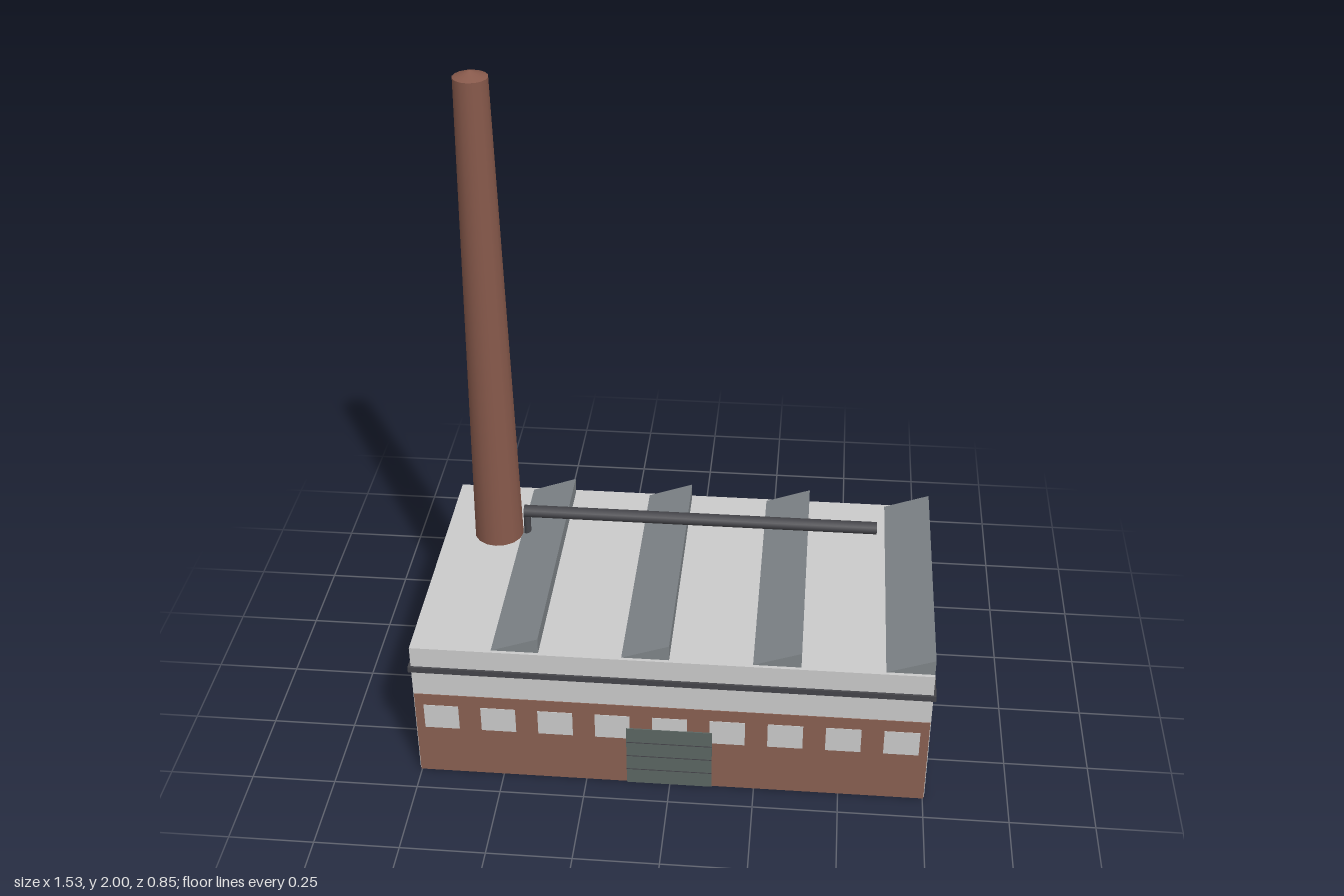
import * as THREE from 'three';

const mat = (color) => new THREE.MeshStandardMaterial({ color });

export function createModel() {
  const root = new THREE.Group();
  root.name = 'factory';
  const wall = mat(0xcccccc);
  const brick = mat(0x8a6152);
  const dark = mat(0x45454a);
  const slate = mat(0x80868a);
  const doorMat = mat(0x5c6663);
  const chimneyMat = mat(0x87594b);

  const add = (name, geometry, material, x, y, z, parent = root) => {
    const mesh = new THREE.Mesh(geometry, material);
    mesh.name = name;
    mesh.position.set(x, y, z);
    parent.add(mesh);
    return mesh;
  };
  // box given by size, and by the height of its underside
  const box = (name, w, h, d, material, x, bottom, z, parent) =>
    add(name, new THREE.BoxGeometry(w, h, d), material, x, bottom + h / 2, z, parent);

  // hall with brick lower facades on the front and back
  box('hall', 1.51, 0.461, 0.84, wall, 0, 0.004, 0);
  box('brickFacade', 1.506, 0.295, 0.844, brick, 0, 0, 0);
  box('corniceBand', 1.526, 0.018, 0.854, dark, 0, 0.38, 0);

  // window rows on both long sides
  const windows = new THREE.Group();
  windows.name = 'windows';
  root.add(windows);
  for (const side of [1, -1]) {
    for (let i = -4; i <= 4; i++) {
      box('window', 0.103, 0.085, 0.004, wall, i * 0.169, 0.17, side * 0.4215, windows);
    }
  }

  // loading door with horizontal slats
  const door = new THREE.Group();
  door.name = 'door';
  root.add(door);
  box('doorPanel', 0.253, 0.21, 0.006, doorMat, -0.002, 0, 0.423, door);
  for (let i = 1; i < 4; i++) {
    box('doorSeam', 0.253, 0.003, 0.002, dark, -0.002, i * 0.052, 0.4255, door);
  }

  // sawtooth roof lights: slope up to the right, upright face on the right
  const profile = new THREE.Shape();
  profile.moveTo(-0.138, 0);
  profile.lineTo(0, 0);
  profile.lineTo(0, 0.05);
  profile.closePath();
  const tooth = new THREE.ExtrudeGeometry(profile, { depth: 0.82, bevelEnabled: false });
  for (let i = 0; i < 4; i++) {
    add('roofTooth', tooth, slate, -0.38 + i * 0.3783, 0.465, -0.41);
  }

  // tapering chimney with a shallow cap
  add('chimney', new THREE.CylinderGeometry(0.05, 0.076, 1.515, 16), chimneyMat, -0.59, 1.2225, -0.17);
  add('chimneyCap', new THREE.ConeGeometry(0.05, 0.02, 16), chimneyMat, -0.59, 1.99, -0.17);

  // roof pipe and its riser beside the chimney
  const pipe = add('roofPipe', new THREE.CylinderGeometry(0.02, 0.02, 1.095, 10), dark, 0.04, 0.55, -0.17);
  pipe.rotation.z = Math.PI / 2;
  add('pipeRiser', new THREE.CylinderGeometry(0.011, 0.011, 0.085, 10), dark, -0.5, 0.5075, -0.17);

  return root;
}
